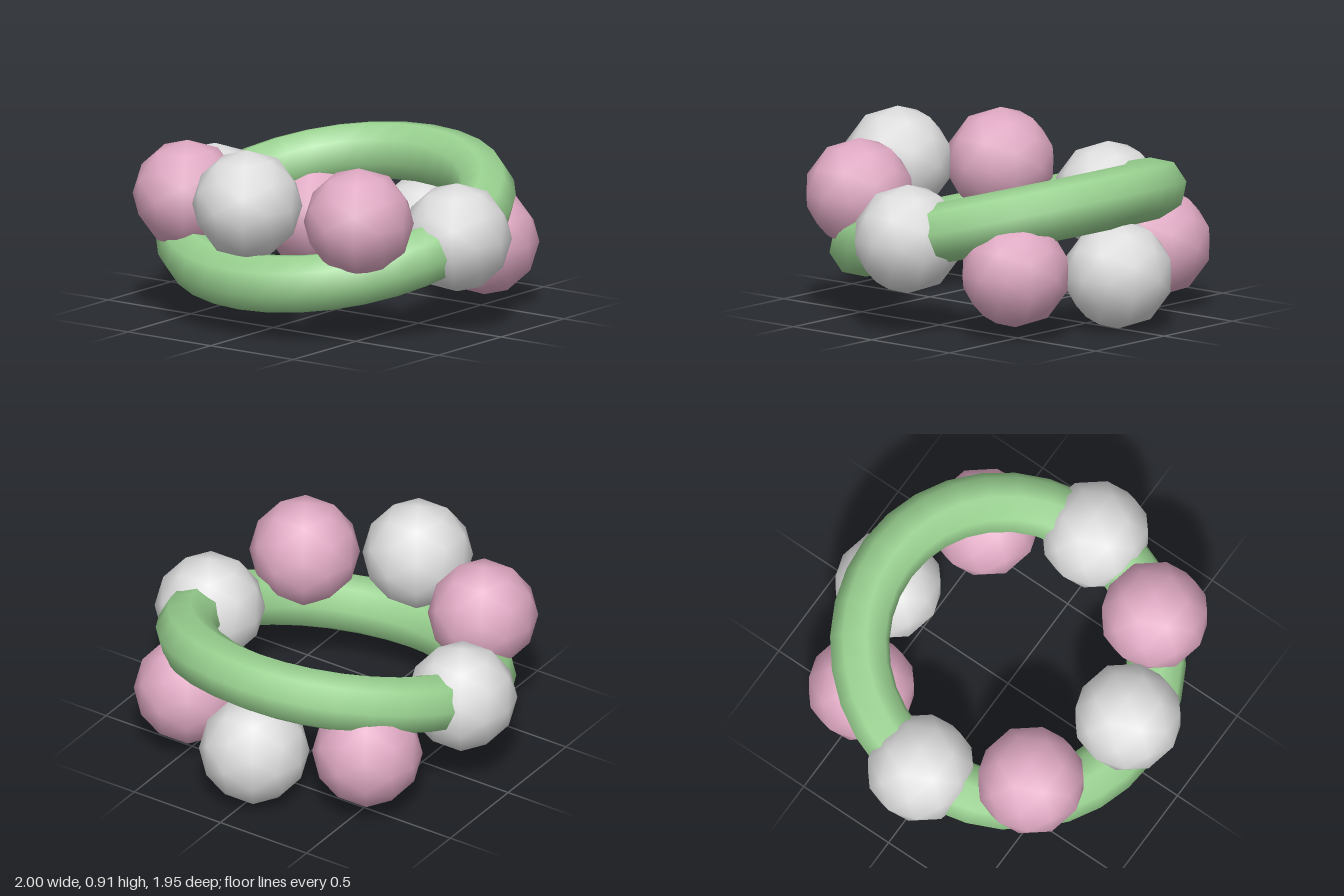
import * as THREE from 'three';

const RING = 0.7326;    // radius of both rings
const BALL = 0.267;     // ball radius
const TUBE = 0.1465;    // hoop thickness radius
const CENTRE_Y = 0.457;
const TILT = THREE.MathUtils.degToRad(15);

export function createModel() {
  const model = new THREE.Group();
  model.name = 'interlockedRings';

  const material = (name, color) => {
    const m = new THREE.MeshStandardMaterial({ color });
    m.name = name;
    return m;
  };
  const green = material('softGreen', 0x98d08f);
  const pink = material('dustyPink', 0xdea8c2);
  const white = material('paleGrey', 0xdcdcdc);

  // Hoop: low at the front, high at the back
  const hoop = new THREE.Mesh(new THREE.TorusGeometry(RING, TUBE, 8, 32), green);
  hoop.name = 'hoop';
  hoop.rotation.x = Math.PI / 2 + TILT;
  hoop.position.y = CENTRE_Y;
  model.add(hoop);

  // Ring of eight balls, tilted the opposite way
  const balls = new THREE.Group();
  balls.name = 'ballRing';
  const ballGeometry = new THREE.IcosahedronGeometry(BALL, 1);
  for (let i = 0; i < 8; i++) {
    const a = (i / 8) * Math.PI * 2;
    const reach = RING * Math.sin(a);
    const ball = new THREE.Mesh(ballGeometry, i % 2 ? pink : white);
    ball.name = i % 2 ? 'pinkBall' : 'paleBall';
    ball.position.set(
      RING * Math.cos(a),
      CENTRE_Y + reach * Math.sin(TILT),
      reach * Math.cos(TILT)
    );
    balls.add(ball);
  }
  model.add(balls);

  return model;
}
